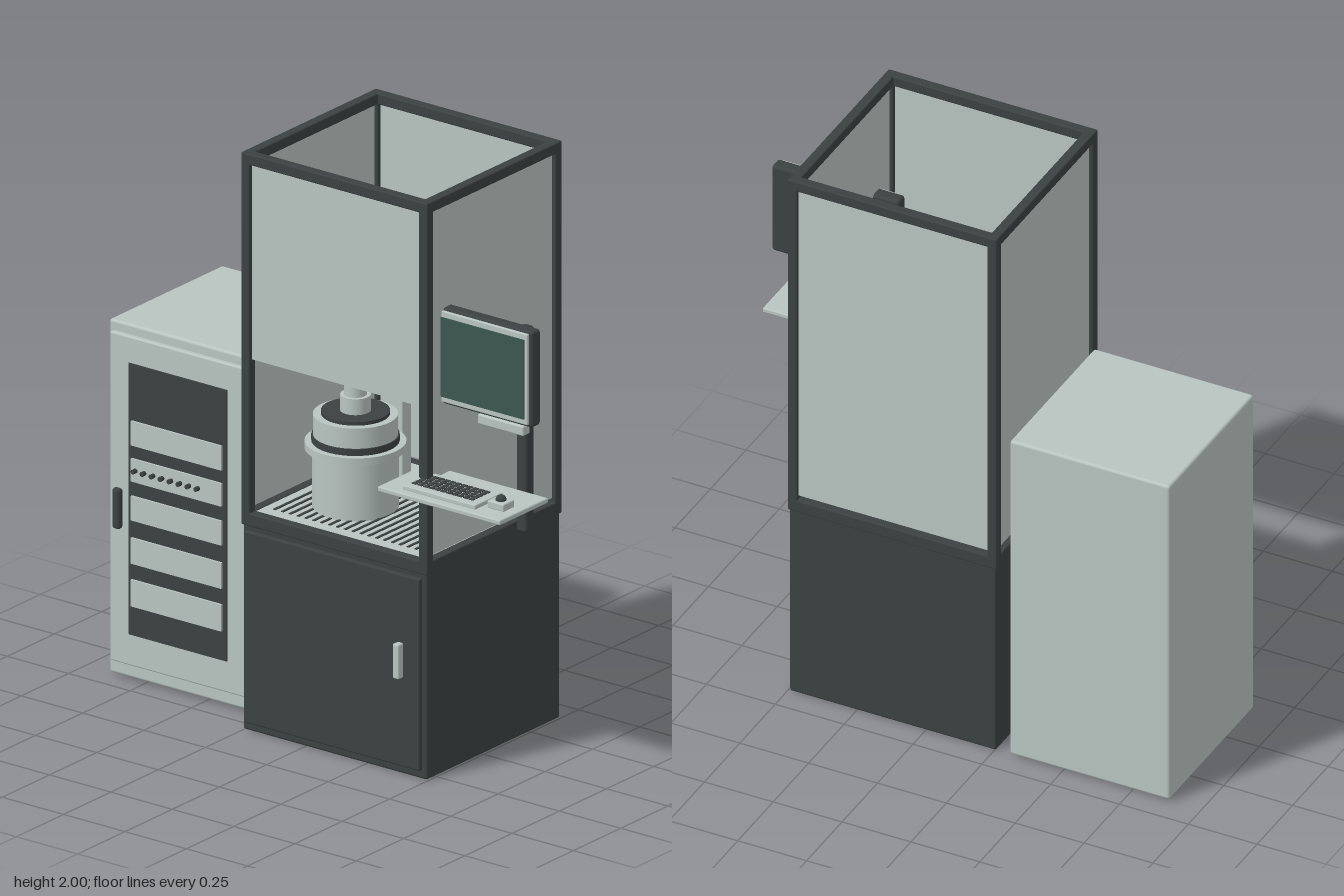
import * as THREE from 'three';
import { RoundedBoxGeometry } from 'three/addons/geometries/RoundedBoxGeometry.js';

const material = (name, color) => {
  const m = new THREE.MeshStandardMaterial({ color });
  m.name = name;
  return m;
};

export function createModel() {
  const light = material('light grey', 0xb9c5c1);
  const dark = material('charcoal', 0x3b4241);
  const green = material('screen green', 0x3b574f);

  const root = new THREE.Group();
  root.name = 'workstation';
  const group = (name) => {
    const g = new THREE.Group();
    g.name = name;
    root.add(g);
    return g;
  };
  const add = (parent, name, geometry, mat) => {
    const mesh = new THREE.Mesh(geometry, mat);
    mesh.name = name;
    parent.add(mesh);
    return mesh;
  };
  // Box given by its extents on each axis, with optional rounded edges
  const box = (parent, name, mat, x, y, z, r = 0) => {
    const s = [x, y, z].map(([a, b]) => b - a);
    const geometry = r ? new RoundedBoxGeometry(...s, 2, r) : new THREE.BoxGeometry(...s);
    geometry.translate((x[0] + x[1]) / 2, (y[0] + y[1]) / 2, (z[0] + z[1]) / 2);
    return add(parent, name, geometry, mat);
  };
  const drum = (parent, name, mat, r, y0, y1, x = 0, z = 0.03) => {
    const geometry = new THREE.CylinderGeometry(r, r, y1 - y0, 40);
    geometry.translate(x, (y0 + y1) / 2, z);
    return add(parent, name, geometry, mat);
  };

  // Base cabinet with door
  const base = group('baseCabinet');
  box(base, 'cabinetBody', dark, [-0.255, 0.495], [0, 0.715], [-0.41, 0.295], 0.008);
  box(base, 'cabinetDoor', dark, [-0.24, 0.475], [0.03, 0.695], [0.285, 0.31], 0.006);
  box(base, 'doorHandle', light, [0.385, 0.41], [0.34, 0.46], [0.305, 0.335], 0.005);

  // Enclosure frame: four posts, with rails at top and bottom
  const frame = group('enclosureFrame');
  const xs = [[-0.26, -0.225], [0.465, 0.5]];
  const zs = [[-0.415, -0.38], [0.265, 0.3]];
  for (const x of xs) for (const z of zs) box(frame, 'post', dark, x, [0.71, 2], z, 0.005);
  for (const y of [[0.71, 0.755], [1.962, 2]]) {
    for (const z of zs) box(frame, 'crossRail', dark, [-0.26, 0.5], y, z, 0.005);
    for (const x of xs) box(frame, 'sideRail', dark, x, y, [-0.415, 0.3], 0.005);
  }

  // Enclosure panels; the front one leaves an opening below
  const panels = group('enclosurePanels');
  box(panels, 'backPanel', light, [-0.23, 0.47], [0.768, 1.965], [-0.402, -0.394]);
  box(panels, 'frontPanel', light, [-0.23, 0.47], [1.285, 1.965], [0.278, 0.286]);
  box(panels, 'leftPanel', light, [0.478, 0.486], [0.768, 1.965], [-0.385, 0.27]);
  box(panels, 'rightPanel', light, [-0.246, -0.238], [0.768, 1.965], [-0.385, 0.27]);

  // Work surface with a row of slots
  const table = group('workSurface');
  box(table, 'tablePlate', light, [-0.23, 0.47], [0.712, 0.752], [-0.385, 0.27]);
  for (let i = 0; i < 21; i++) {
    const x = -0.185 + i * 0.032;
    box(table, 'slot', dark, [x - 0.005, x + 0.005], [0.75, 0.755], [-0.13, 0.22]);
  }

  // Vessel and the column carrying its spindle
  const vessel = group('vessel');
  drum(vessel, 'lowerDrum', light, 0.14, 0.752, 0.96);
  drum(vessel, 'flange', light, 0.165, 0.955, 0.98);
  drum(vessel, 'sealRing', dark, 0.143, 0.98, 1.003);
  drum(vessel, 'upperDrum', light, 0.138, 1.003, 1.073);
  drum(vessel, 'lid', dark, 0.112, 1.07, 1.085);
  drum(vessel, 'spindleCollar', light, 0.05, 1.085, 1.14);
  drum(vessel, 'spindle', light, 0.037, 1.14, 1.37);
  box(vessel, 'column', light, [-0.037, 0.037], [0.752, 1.37], [-0.22, -0.17], 0.005);
  box(vessel, 'overheadArm', light, [-0.03, 0.03], [1.3, 1.36], [-0.19, 0.03], 0.005);

  // Electronics rack
  const rack = group('rack');
  box(rack, 'rackBody', light, [-0.89, -0.31], [0.01, 1.235], [-0.42, 0.178], 0.01);
  box(rack, 'rackDoor', light, [-0.875, -0.325], [0.06, 1.2], [0.17, 0.195], 0.006);
  box(rack, 'rackWindow', dark, [-0.795, -0.395], [0.17, 1.11], [0.19, 0.2]);
  for (const y of [[0.83, 0.915], [0.705, 0.785], [0.57, 0.655], [0.42, 0.51], [0.272, 0.365]])
    box(rack, 'rackUnit', light, [-0.78, -0.412], y, [0.195, 0.207]);
  for (let i = 0; i < 8; i++) {
    const knob = new THREE.CylinderGeometry(0.008, 0.008, 0.02, 12);
    knob.rotateX(Math.PI / 2).translate(-0.76 + i * 0.0365, 0.747, 0.213);
    add(rack, 'knob', knob, dark);
  }
  box(rack, 'rackHandle', dark, [-0.842, -0.81], [0.535, 0.675], [0.205, 0.23], 0.01);

  // Side mount: upright pole and brackets
  const mount = group('sideMount');
  box(mount, 'pole', dark, [0.607, 0.65], [0.79, 1.5], [-0.075, -0.03], 0.01);
  box(mount, 'wallArm', light, [0.325, 0.67], [1.145, 1.18], [-0.025, 0.013], 0.006);
  box(mount, 'monitorArm', light, [0.605, 0.65], [1.23, 1.265], [-0.055, 0.108], 0.006);

  // Monitor
  const monitor = group('monitor');
  box(monitor, 'monitorHousing', dark, [0.385, 0.848], [1.272, 1.605], [0.148, 0.197], 0.012);
  box(monitor, 'bezel', light, [0.395, 0.835], [1.282, 1.597], [0.19, 0.205], 0.004);
  box(monitor, 'screen', green, [0.408, 0.823], [1.302, 1.577], [0.203, 0.21]);

  // Keyboard tray with keyboard and trackball
  const tray = group('keyboardTray');
  box(tray, 'trayPlate', light, [0.385, 0.885], [1.012, 1.03], [0.158, 0.415], 0.005);
  box(tray, 'keyboard', light, [0.465, 0.762], [1.028, 1.045], [0.238, 0.386], 0.004);
  for (let row = 0; row < 5; row++)
    for (let col = 0; col < 11; col++) {
      const x = 0.481 + col * 0.0232, z = 0.264 + row * 0.02;
      box(tray, 'key', dark, [x, x + 0.018], [1.043, 1.048], [z, z + 0.014]);
    }
  box(tray, 'trackballBase', light, [0.78, 0.847], [1.028, 1.055], [0.287, 0.347], 0.005);
  add(tray, 'trackball', new THREE.SphereGeometry(0.018, 20, 12).translate(0.814, 1.056, 0.317), dark);

  return root;
}
